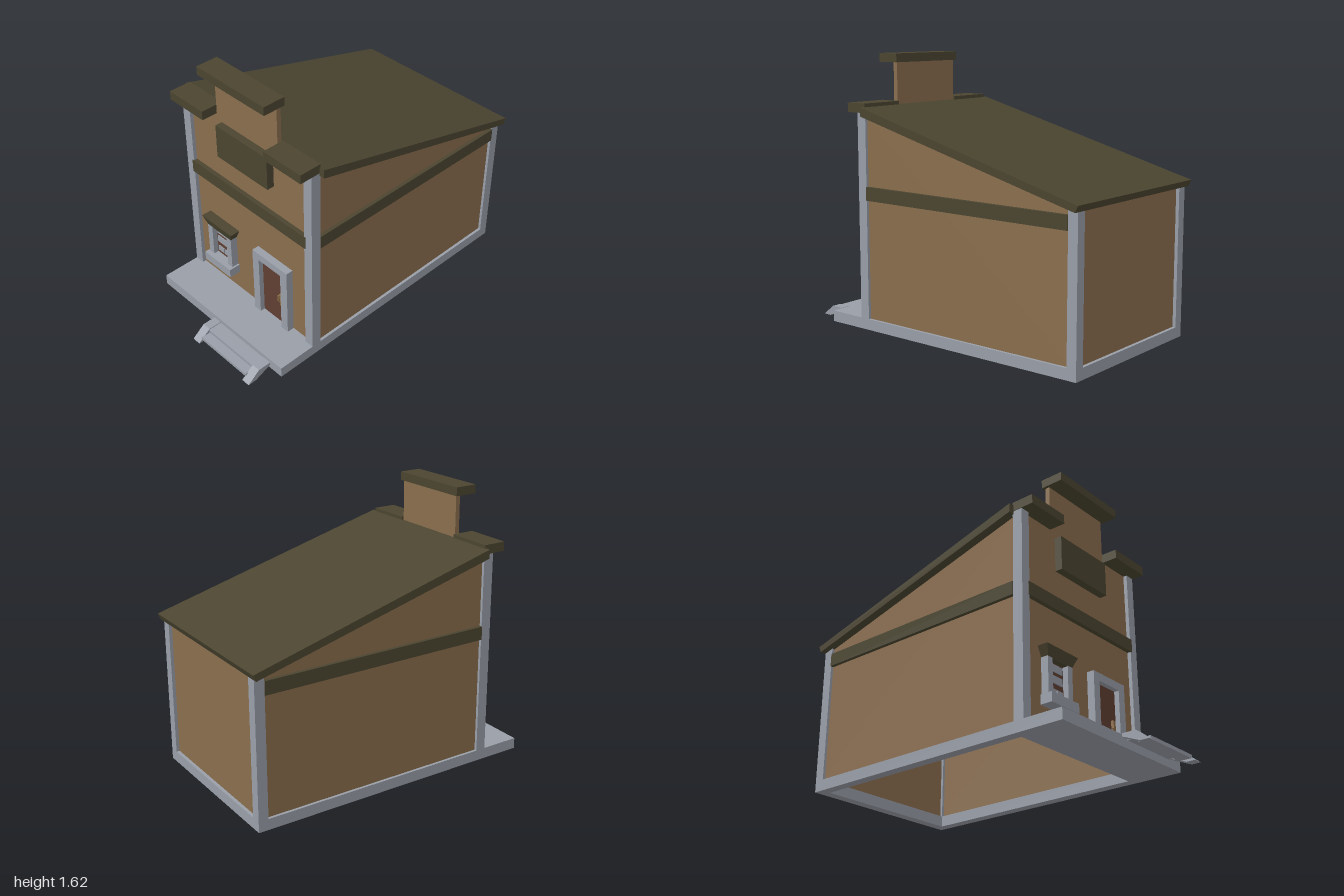
import * as THREE from 'three';

const material = (name, color) => {
  const m = new THREE.MeshStandardMaterial({ color });
  m.name = name;
  return m;
};

export function createModel() {
  const model = new THREE.Group();
  model.name = 'storefront';
  const plaster = material('tan plaster', 0x8a6e4e);
  const olive = material('olive trim', 0x4b4530);
  const stone = material('grey stone', 0x999ea8);
  const wood = material('red brown wood', 0x603f33);
  const brass = material('door handle tan', 0x8f7048);

  const add = (name, geometry, mat, parent = model) => {
    const mesh = new THREE.Mesh(geometry, mat);
    mesh.name = name;
    parent.add(mesh);
    return mesh;
  };
  // Box from its lower and upper limits on each axis
  const box = (name, mat, [x0, x1], [y0, y1], [z0, z1], parent) => {
    const g = new THREE.BoxGeometry(x1 - x0, y1 - y0, z1 - z0);
    g.translate((x0 + x1) / 2, (y0 + y1) / 2, (z0 + z1) / 2);
    return add(name, g, mat, parent);
  };
  // Side profile of (z, y) points, extruded across x
  const prism = (name, mat, points, x0, x1, parent) => {
    const shape = new THREE.Shape(points.map(([z, y]) => new THREE.Vector2(z, y)));
    const g = new THREE.ExtrudeGeometry(shape, { depth: x1 - x0, bevelEnabled: false });
    g.rotateY(-Math.PI / 2).translate(x1, 0, 0);
    return add(name, g, mat, parent);
  };
  const group = (name) => {
    const g = new THREE.Group();
    g.name = name;
    model.add(g);
    return g;
  };
  const mirrored = (s, a, b) => (s > 0 ? [a, b] : [-b, -a]);
  const roofUnderside = (z) => 0.882 + (z + 0.98) * 0.2595;

  // Foundation: porch slab and an open ring under the walls
  const base = group('foundation');
  const baseY = [0, 0.066];
  box('porch', stone, [-0.53, 0.53], baseY, [0.52, 0.825], base);
  box('backFooting', stone, [-0.53, 0.53], baseY, [-0.975, -0.915], base);
  for (const s of [-1, 1]) box('sideFooting', stone, mirrored(s, 0.47, 0.53), baseY, [-0.915, 0.52], base);

  // Walls, open below
  const walls = group('walls');
  box('frontWall', plaster, [-0.5, 0.5], [0.06, 1.3], [0.532, 0.56], walls);
  box('parapet', plaster, [-0.25, 0.25], [1.3, 1.58], [0.532, 0.56], walls);
  box('backWall', plaster, [-0.5, 0.5], [0.06, roofUnderside(-0.95) + 0.01], [-0.955, -0.93], walls);
  for (const s of [-1, 1]) {
    const [x0, x1] = mirrored(s, 0.487, 0.513);
    prism('sideWall', plaster, [[-0.94, 0.06], [0.545, 0.06],
      [0.545, roofUnderside(0.53) + 0.01], [-0.94, roofUnderside(-0.94) + 0.01]], x0, x1, walls);
  }

  // Corner posts
  for (const s of [-1, 1]) {
    const x = mirrored(s, 0.47, 0.53);
    box('frontPost', stone, x, [0.06, 1.295], [0.52, 0.583]);
    prism('backPost', stone, [[-0.975, 0.06], [-0.915, 0.06],
      [-0.915, roofUnderside(-0.915) + 0.005], [-0.975, roofUnderside(-0.975) + 0.005]], ...x);
  }

  // Sloping roof
  prism('roof', olive, [[0.527, 1.273], [0.527, 1.326], [-0.997, 0.92], [-0.98, 0.882]], -0.565, 0.565);

  // Belt beams, cornices and blank sign board
  box('frontBeam', olive, [-0.48, 0.48], [0.78, 0.86], [0.522, 0.587]);
  for (const s of [-1, 1]) {
    box('sideBeam', olive, mirrored(s, 0.475, 0.535), [0.78, 0.86], [-0.915, 0.52]);
    box('lowerCornice', olive, mirrored(s, 0.25, 0.533), [1.29, 1.345], [0.52, 0.66]);
  }
  box('upperCornice', olive, [-0.268, 0.268], [1.573, 1.625], [0.52, 0.66]);
  box('signBoard', olive, [-0.21, 0.21], [1.04, 1.25], [0.55, 0.606]);

  // Door with frame and handle
  const door = group('door');
  box('doorLeaf', wood, [0.1, 0.295], [0.066, 0.475], [0.55, 0.575], door);
  box('doorJamb', stone, [0.055, 0.107], [0.066, 0.47], [0.55, 0.606], door);
  box('doorJamb', stone, [0.29, 0.345], [0.066, 0.47], [0.55, 0.606], door);
  box('doorLintel', stone, [0.055, 0.345], [0.47, 0.517], [0.55, 0.606], door);
  box('handlePlate', brass, [0.253, 0.279], [0.2, 0.287], [0.575, 0.582], door);
  box('handleGrip', brass, [0.246, 0.254], [0.235, 0.28], [0.575, 0.592], door);

  // Window: board, panes, jambs, sill and flared hood
  const win = group('window');
  const cx = -0.246;
  box('windowBoard', wood, [cx - 0.07, cx + 0.07], [0.245, 0.465], [0.55, 0.572], win);
  const pane = (x, y) => box('pane', stone, x, y, [0.572, 0.578], win);
  pane([cx - 0.055, cx + 0.053], [0.408, 0.45]);
  pane([cx - 0.055, cx + 0.053], [0.343, 0.387]);
  pane([cx - 0.053, cx - 0.004], [0.275, 0.31]);
  pane([cx + 0.004, cx + 0.053], [0.275, 0.31]);
  box('windowJamb', stone, [-0.352, -0.312], [0.245, 0.465], [0.55, 0.606], win);
  box('windowJamb', stone, [-0.182, -0.142], [0.245, 0.465], [0.55, 0.606], win);
  box('windowSill', stone, [-0.363, -0.13], [0.195, 0.252], [0.54, 0.635], win);
  const hood = new THREE.BoxGeometry(0.264, 0.064, 0.1);
  const p = hood.attributes.position;
  for (let i = 0; i < p.count; i++) {
    if (p.getY(i) > 0) continue;
    p.setX(i, p.getX(i) * 0.78);
    if (p.getZ(i) > 0) p.setZ(i, 0.03);
  }
  hood.computeVertexNormals();
  hood.translate(cx, 0.492, 0.575);
  add('windowHood', hood, olive, win);

  // Porch steps: two sloping stringers and two treads
  const steps = group('steps');
  for (const x of [-0.045, 0.395]) {
    prism('stringer', stone, [[1, 0], [0.92, 0.063], [0.837, 0.063], [0.837, 0.045], [0.945, 0]], x, x + 0.055, steps);
  }
  box('lowerTread', stone, [0.005, 0.4], [0.014, 0.034], [0.9, 0.977], steps);
  box('upperTread', stone, [0.005, 0.4], [0.038, 0.058], [0.837, 0.922], steps);

  return model;
}
